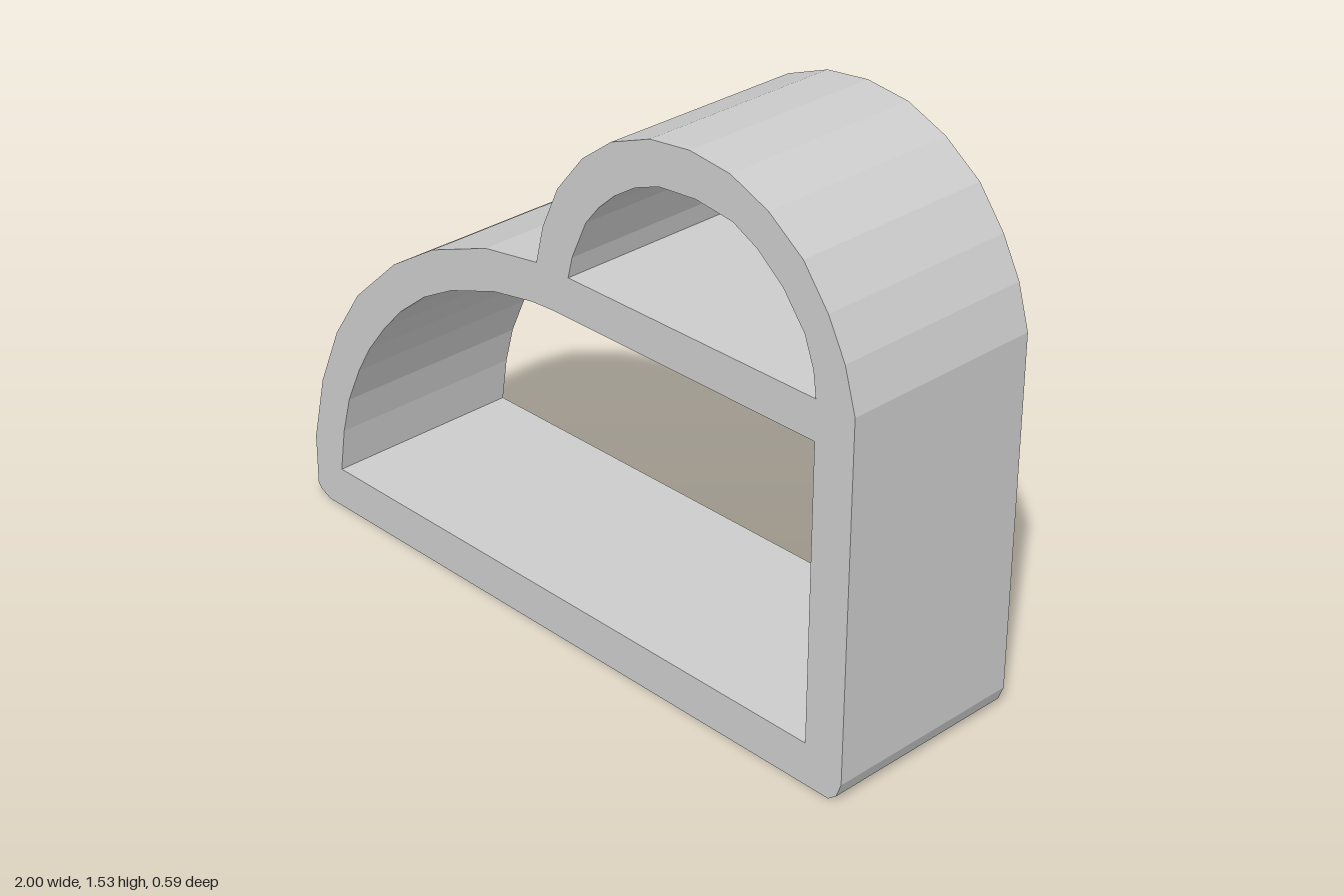
import * as THREE from 'three';

const DEPTH = 0.59;
const toPoints = (pairs) => pairs.map(([x, y]) => new THREE.Vector2(x, y));

// Outer silhouette: floor with eased corners, sloping left arc, small dome at right
const outline = [
  [-0.95, 0], [0.96, 0], [0.985, 0.02], [1, 0.06],
  [1, 1.06], [0.965, 1.18], [0.91, 1.285], [0.83, 1.39], [0.72, 1.47], [0.6, 1.52],
  [0.47, 1.535], [0.34, 1.52], [0.21, 1.47], [0.11, 1.395], [0.02, 1.285], [-0.035, 1.165],
  [-0.06, 1.06], [-0.25, 1.03], [-0.46, 0.95], [-0.62, 0.85], [-0.78, 0.7],
  [-0.88, 0.55], [-0.955, 0.375], [-1, 0.18], [-1, 0.03], [-0.985, 0.015],
];

// Large opening under the sloping arc
const lowerOpening = [
  [-0.89, 0.12], [-0.87, 0.25], [-0.84, 0.36], [-0.79, 0.47], [-0.74, 0.555], [-0.67, 0.645],
  [-0.6, 0.72], [-0.5, 0.8], [-0.39, 0.86], [-0.22, 0.92], [-0.08, 0.945], [0, 0.95],
  [0.88, 0.95], [0.88, 0.12],
];

// Half-round opening inside the dome
const domeOpening = [
  [0.055, 1.06], [0.07, 1.12], [0.12, 1.23], [0.165, 1.285], [0.22, 1.335], [0.29, 1.38],
  [0.37, 1.41], [0.49, 1.42], [0.61, 1.405], [0.69, 1.365], [0.77, 1.3], [0.84, 1.21],
  [0.87, 1.13], [0.88, 1.06],
];

export function createModel() {
  const group = new THREE.Group();
  group.name = 'archedFrame';

  const lightGrey = new THREE.MeshStandardMaterial({ color: 0xcccccc });
  lightGrey.name = 'lightGrey';

  // One wall-thick profile pushed through its depth, faceted by the profile points
  const shape = new THREE.Shape(toPoints(outline));
  shape.holes = [lowerOpening, domeOpening].map((p) => new THREE.Path(toPoints(p)));
  const geometry = new THREE.ExtrudeGeometry(shape, { depth: DEPTH, bevelEnabled: false });
  geometry.translate(0, 0, -DEPTH / 2);

  const frame = new THREE.Mesh(geometry, lightGrey);
  frame.name = 'frame';
  group.add(frame);
  return group;
}
